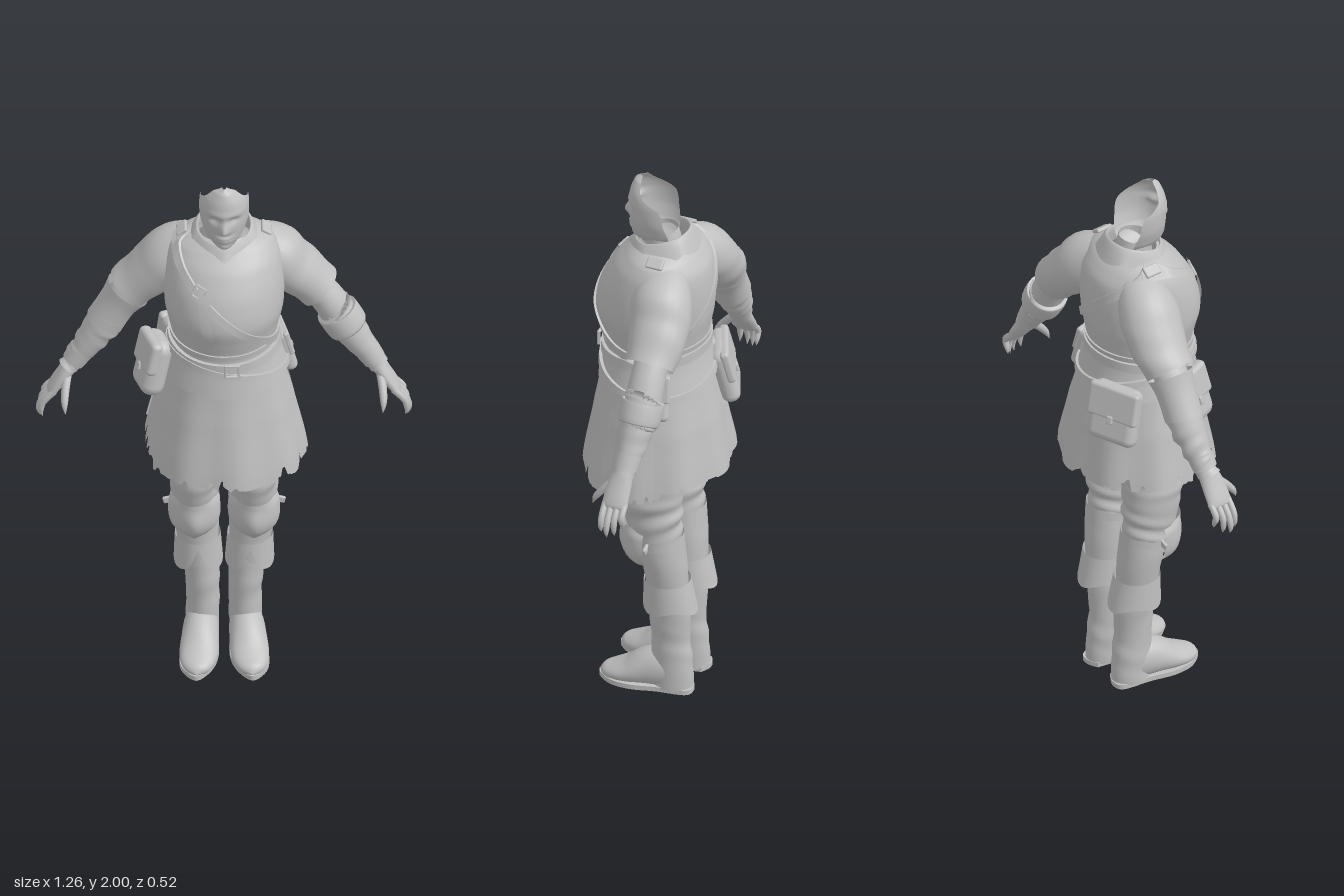
import * as THREE from 'three';
import { toCreasedNormals } from 'three/addons/utils/BufferGeometryUtils.js';
import { RoundedBoxGeometry } from 'three/addons/geometries/RoundedBoxGeometry.js';

const grey = new THREE.MeshStandardMaterial({ color: 0xc0c0c0, side: THREE.DoubleSide });
grey.name = 'plain grey';
const { sin, cos, abs, PI, max, min, pow } = Math;
const lerp = THREE.MathUtils.lerp;
const hash = n => { const s = sin(n * 127.1 + 3.7) * 43758.5453; return s - Math.floor(s); };
const bump = (d, s) => Math.exp(-d * d / (2 * s * s));

// Smooth interpolation of table rows at position t (in rows)
function sample(rows, t) {
  const i = min(Math.floor(t), rows.length - 2), f = t - i;
  const r = k => rows[max(0, min(rows.length - 1, k))];
  return rows[0].map((_, k) => {
    const [p, a, b, q] = [r(i - 1)[k], r(i)[k], r(i + 1)[k], r(i + 2)[k]];
    return a + 0.5 * f * (b - p + f * (2 * p - 5 * a + 4 * b - q + f * (3 * (a - b) + q - p)));
  });
}
// Table lookup by first column (descending heights)
function at(rows, y) {
  let i = 0;
  while (i < rows.length - 2 && y < rows[i + 1][0]) i++;
  const f = (y - rows[i][0]) / (rows[i + 1][0] - rows[i][0]);
  return sample(rows, i + max(0, min(1, f)));
}

// Surface from fn(u, v) -> [x, y, z], wound to face away from its centre
function grid(nu, nv, fn, closed = false, crease = 0) {
  const pos = [], idx = [], cols = closed ? nu : nu + 1;
  for (let j = 0; j <= nv; j++) for (let i = 0; i < cols; i++) pos.push(...fn(i / nu, j / nv));
  for (let j = 0; j < nv; j++) for (let i = 0; i < nu; i++) {
    const k = (i + 1) % cols, a = j * cols + i, b = j * cols + k;
    idx.push(a, b, a + cols, b, b + cols, a + cols);
  }
  const p = i => new THREE.Vector3(pos[i * 3], pos[i * 3 + 1], pos[i * 3 + 2]);
  const mid = new THREE.Vector3(), n = pos.length / 3;
  for (let i = 0; i < n; i++) mid.addScaledVector(p(i), 1 / n);
  let vol = 0;
  for (let i = 0; i < idx.length; i += 3) {
    const [a, b, c] = [0, 1, 2].map(k => p(idx[i + k]).sub(mid));
    vol += a.dot(b.cross(c));
  }
  if (vol < 0) idx.reverse();
  const g = new THREE.BufferGeometry();
  g.setAttribute('position', new THREE.Float32BufferAttribute(pos, 3));
  g.setIndex(idx);
  g.computeVertexNormals();
  return crease ? toCreasedNormals(g, crease) : g;
}

// Elliptic tube through rows [x, y, z, halfWidth, halfDepth]
function loft(rows, { seg = 24, steps = 6, wrinkle = 0, freq = 60, yMin = 0 } = {}) {
  const n = rows.length - 1, c = t => new THREE.Vector3(...sample(rows, t));
  const d = c(n).sub(c(0)).normalize();
  const ref = abs(d.z) > 0.8 ? new THREE.Vector3(0, 1, 0) : new THREE.Vector3(0, 0, 1);
  return grid(seg, n * steps, (u, v) => {
    const t = v * n, r = sample(rows, t), o = u * 2 * PI;
    const tan = c(min(n, t + 0.1)).sub(c(max(0, t - 0.1))).normalize();
    const w = ref.clone().addScaledVector(tan, -ref.dot(tan)).normalize();
    const s = tan.clone().cross(w);
    const k = wrinkle * sin(r[1] * freq + 2 * sin(o + r[1] * 9)) * (0.5 + 0.5 * sin(o + r[1] * 23));
    const p = new THREE.Vector3(r[0], r[1], r[2])
      .addScaledVector(s, (max(0, r[3]) + k) * cos(o)).addScaledVector(w, (max(0, r[4]) + k) * sin(o));
    return [p.x, max(yMin, p.y), p.z];
  }, true);
}

// Body outline: height, half width, front z, back z
const body = [
  [1.77, 0.085, 0.06, -0.09], [1.745, 0.15, 0.09, -0.125], [1.69, 0.183, 0.145, -0.165],
  [1.6, 0.196, 0.196, -0.178], [1.5, 0.196, 0.218, -0.175], [1.42, 0.181, 0.2, -0.162],
  [1.36, 0.174, 0.186, -0.155], [1.25, 0.197, 0.194, -0.175], [1.1, 0.233, 0.216, -0.208], [0.85, 0.28, 0.254, -0.25],
];
// Point on the body; angle 0 is the front, positive towards +x
function onBody(o, y, off = 0) {
  const [, a, f, b] = at(body, y);
  return [(a + off) * sin(o), y, (f + b) / 2 + ((f - b) / 2 + off) * cos(o)];
}
// Raised strap around the body following yFn(angle)
const strap = (yFn, h, off) => grid(80, 3, (u, v) => {
  const o = u * 2 * PI, k = Math.round(v * 3);
  return onBody(o, yFn(o) + (k < 2 ? h : -h), k === 0 || k === 3 ? 0 : off);
}, true, 0.8);

export function createModel() {
  const root = new THREE.Group();
  root.name = 'armouredFigure';
  const add = (name, geo, parent = root) => {
    const m = new THREE.Mesh(geo, grey);
    m.name = name;
    parent.add(m);
    return m;
  };
  const box = (name, w, h, d, x, y, z, parent) => {
    const m = add(name, new RoundedBoxGeometry(w, h, d, 2, min(w, h, d) * 0.4), parent);
    m.position.set(x, y, z);
    return m;
  };

  // Head: an open-backed face shell with sculpted features
  const head = [ // height, half width, front z, cut-off z
    [2, 0.012, 0.078, 0.065], [1.985, 0.045, 0.094, 0.06], [1.95, 0.073, 0.107, 0.045], [1.915, 0.083, 0.112, -0.02],
    [1.85, 0.082, 0.109, -0.035], [1.8, 0.068, 0.106, -0.045], [1.77, 0.05, 0.099, -0.04], [1.75, 0.032, 0.082, -0.02], [1.745, 0.02, 0.05, 0],
  ];
  add('face', grid(48, 56, (u, v) => {
    const y = lerp(2, 1.745, v), [, w, f, cut] = at(head, y), d = f - 0.01;
    const o = (u * 2 - 1) * Math.acos(max(-0.95, min(0.98, (cut - 0.01) / d)));
    const x = w * sin(o), front = max(0, cos(o));
    const nose = 0.024 * bump(x, 0.011) * bump(y - 1.845, y > 1.845 ? 0.024 : 0.008);
    const eyes = -0.012 * bump(abs(x) - 0.033, 0.014) * bump(y - 1.885, 0.01);
    const brow = 0.004 * bump(y - 1.908, 0.009);
    const lips = 0.008 * bump(x, 0.02) * (bump(y - 1.813, 0.005) + bump(y - 1.799, 0.005));
    const chin = 0.006 * bump(x, 0.02) * bump(y - 1.768, 0.01);
    return [x, y, 0.01 + d * cos(o) + front * (nose + eyes + brow + lips + chin)];
  }));
  add('neck', loft([[0, 1.69, -0.02, 0.075, 0.075], [0, 1.74, -0.01, 0.062, 0.065], [0, 1.8, 0, 0.058, 0.058]]));
  // Turned-down collar, higher at the back and pointed at the front
  add('collar', grid(60, 10, (u, v) => {
    const o = u * 2 * PI, top = 1.79 - 0.024 * cos(o), fold = 0.045 + 0.022 * abs(sin(o * 2.5));
    const [r, y] = sample([[0.098, 1.725], [0.086, top - 0.012], [0.095, top], [0.127, top - fold]], v * 3);
    return [r * sin(o), y, -0.008 + r * cos(o)];
  }, true));

  // Torso armour
  add('breastplate', grid(64, 32, (u, v) => onBody(u * 2 * PI, lerp(1.77, 1.3, v), 0.004), true));
  add('waistFlange', strap(o => 1.385 - 0.015 * cos(o), 0.01, 0.01));
  add('lowerPlate', grid(64, 6, (u, v) => {
    const o = u * 2 * PI;
    return onBody(o, lerp(1.34, 1.24 - 0.03 * max(0, cos(o)), v), 0.008 + 0.004 * v);
  }, true));
  add('trouserSeat', loft([[0, 1.3, 0, 0.16, 0.14], [0, 1.1, -0.005, 0.185, 0.135], [0, 0.97, -0.005, 0.16, 0.11],
    [0, 0.9, -0.005, 0.07, 0.07], [0, 0.88, -0.005, 0, 0]]));

  // Ragged skirt panels: start angle, end angle, offset, hem height
  [[-0.02, 1.15, 0.006, 0.855], [-1.15, 0.02, 0.003, 0.86], [1.05, 2.0, -0.004, 0.855], [-2.0, -1.05, -0.004, 0.9],
    [1.9, 3.2, 0.006, 0.9], [-3.12, -1.9, 0.002, 0.905]].forEach(([a, b, off, hem], i) =>
    add('skirtPanel', grid(36, 18, (u, v) => {
      const o = lerp(a, b, u), k = Math.floor(u * 18);
      const edge = max(0, abs(u - 0.5) - 0.42) * 0.3;
      const tear = 0.05 * pow(hash(k + i * 31), 5);
      return onBody(o, lerp(1.34, hem + edge + tear, v), off + v * 0.006 * sin(o * 9));
    })));

  // Belts, baldric and buckles
  add('belt', strap(o => 1.35 - 0.022 * cos(o), 0.017, 0.016));
  add('slungBelt', strap(o => 1.285 + 0.02 * cos(o) - 0.045 * sin(o), 0.011, 0.02));
  add('baldric', strap(o => 1.56 - 0.185 * sin(o) - 0.02 * cos(o), 0.018, 0.012));
  add('baldricTail', grid(6, 24, (u, v) => onBody(lerp(-0.45, -0.25, u) + 0.1 * v,
    lerp(1.66, 1.42 - 0.02 * sin(u * PI), v), 0.014)));
  const buckle = (name, x, y, z, s, tilt, rx, ry) => {
    const g = new THREE.TorusGeometry(s, s * 0.2, 6, 4, PI * 2);
    g.rotateZ(PI / 4);
    const m = add(name, toCreasedNormals(g, 0.6));
    m.position.set(x, y, z);
    m.rotation.set(rx, ry, tilt);
  };
  buckle('beltBuckle', 0.025, 1.328, 0.208, 0.032, 0, 0, 0);
  buckle('baldricBuckle', -0.085, 1.635, 0.172, 0.028, -0.5, -0.4, -0.3);
  for (const s of [1, -1])
    box('shoulderStrapPlate', 0.04, 0.014, 0.06, s * 0.142, 1.752, -0.035).rotation.z = -s * 0.6;

  // Pouches: position, size, turn about y, tilt
  [['backPouch', -0.13, 1.205, -0.178, 0.19, 0.21, 0.065, PI + 0.4, 0],
    ['rightHipBag', -0.24, 1.25, 0.05, 0.15, 0.21, 0.085, -PI / 2 + 0.3, 0.08],
    ['leftHipBag', 0.2, 1.25, -0.05, 0.12, 0.17, 0.045, PI / 2 + 0.25, 0],
  ].forEach(([name, x, y, z, w, h, d, turn, tilt]) => {
    const g = new THREE.Group();
    g.name = name;
    g.position.set(x, y, z);
    g.rotation.set(-0.25, turn, tilt, 'YXZ');
    root.add(g);
    add('pouchBody', new RoundedBoxGeometry(w * 0.97, h, d, 5, d * 0.48), g);
    box('pouchFlap', w, h * 0.58, d * 0.5, 0, h * 0.2, d * 0.29, g);
    box('pouchClasp', w * 0.12, h * 0.14, 0.012, 0, -h * 0.07, d * 0.54, g);
  });

  for (const s of [1, -1]) {
    const side = s > 0 ? 'left' : 'right';
    const m = rows => rows.map(([x, ...r]) => [x * s, ...r]);

    // Arm, sleeve and forearm guards
    add(side + 'Sleeve', loft(m([[0.09, 1.70, -0.05, 0.05, 0.07], [0.16, 1.635, -0.07, 0.093, 0.1],
      [0.225, 1.56, -0.085, 0.09, 0.104], [0.285, 1.5, -0.09, 0.08, 0.092], [0.322, 1.462, -0.09, 0.078, 0.086]]), { wrinkle: 0.003 }));
    add(side + 'Arm', loft(m([[0.25, 1.53, -0.09, 0.05, 0.055], [0.335, 1.43, -0.09, 0.056, 0.06], [0.4, 1.32, -0.09, 0.06, 0.062],
      [0.45, 1.24, -0.085, 0.05, 0.052], [0.5, 1.17, -0.078, 0.037, 0.038], [0.52, 1.14, -0.075, 0.034, 0.038]]), { wrinkle: s > 0 ? 0.0015 : 0.006, freq: 130 }));
    add(side + 'ElbowCuff', loft(m(s > 0
      ? [[0.378, 1.36, -0.09, 0.062, 0.064], [0.38, 1.355, -0.09, 0.072, 0.072], [0.415, 1.295, -0.088, 0.07, 0.07], [0.418, 1.29, -0.088, 0.055, 0.055]]
      : [[0.322, 1.45, -0.09, 0.08, 0.078], [0.355, 1.4, -0.09, 0.066, 0.068], [0.4, 1.32, -0.09, 0.066, 0.066]]), { steps: 4 }));
    add(side + 'WristBand', loft(m([[0.477, 1.205, -0.08, 0.044, 0.046], [0.505, 1.16, -0.077, 0.039, 0.042]])));

    // Hand
    add(side + 'Palm', loft(m([[0.505, 1.165, -0.077, 0.03, 0.032], [0.536, 1.115, -0.07, 0.025, 0.042], [0.566, 1.07, -0.068, 0.02, 0.045],
      [0.58, 1.045, -0.068, 0.015, 0.042], [0.583, 1.04, -0.068, 0, 0]]), { seg: 16, steps: 4 }));
    for (let i = 0; i < 4; i++) {
      const z = -0.102 + i * 0.023, l = [0.78, 0.95, 1, 0.9][i], dx = [-0.016, -0.004, 0.004, 0][i];
      add(side + 'Finger', loft(m([[0.57, 1.06, z, 0.012, 0.011], [0.574 + 0.035 * l, 1.06 - 0.045 * l, z, 0.012, 0.011],
        [0.574 + 0.044 * l + dx, 1.06 - 0.085 * l, z, 0.009, 0.009], [0.572 + 0.04 * l + dx, 1.06 - 0.115 * l, z, 0, 0]]), { seg: 10, steps: 4 }));
    }
    add(side + 'Thumb', loft(m([[0.525, 1.12, -0.05, 0.015, 0.015], [0.532, 1.085, -0.015, 0.014, 0.014],
      [0.535, 1.045, 0.016, 0.011, 0.011], [0.532, 1.01, 0.03, 0, 0]]), { seg: 10, steps: 4 }));

    // Trousers and greave
    add(side + 'TrouserLeg', loft(m([[0.095, 1.12, -0.01, 0.09, 0.11], [0.1, 0.9, -0.005, 0.088, 0.114], [0.1, 0.78, -0.005, 0.086, 0.108],
      [0.099, 0.68, -0.015, 0.08, 0.097], [0.098, 0.6, -0.03, 0.074, 0.08]]), { wrinkle: 0.006, freq: 85, seg: 32, steps: 9 }));
    add(side + 'Greave', loft(m([[0.098, 0.63, -0.035, 0.076, 0.084], [0.096, 0.56, -0.045, 0.078, 0.078],
      [0.092, 0.5, -0.053, 0.075, 0.075], [0.087, 0.43, -0.057, 0.069, 0.072], [0.08, 0.36, -0.06, 0.062, 0.07]])));

    // Knee guard with a central ridge
    const knee = [[0.672, 0.07, 0.096], [0.645, 0.084, 0.09], [0.59, 0.088, 0.09], [0.55, 0.08, 0.08], [0.52, 0.056, 0.06], [0.495, 0.02, 0.04]];
    add(side + 'KneeGuard', grid(28, 20, (u, v) => {
      const y = lerp(0.672, 0.495, v), [, a, d] = at(knee, y), o = (u - 0.5) * 3.4;
      return [s * 0.1 + a * sin(o), y, 0.005 + d * cos(o) + 0.014 * bump(o, 0.3) * sin(v * PI)];
    }));
    add(side + 'KneeStrap', loft(m([[0.098, 0.625, -0.03, 0.084, 0.086], [0.098, 0.595, -0.034, 0.083, 0.085]])));
    box(side + 'KneeStrapEnd', 0.035, 0.025, 0.012, s * 0.188, 0.612, -0.02).rotation.z = -s * 0.25;

    // Boot with turned cuff, notched at the front
    add(side + 'BootCuff', grid(40, 8, (u, v) => {
      const o = u * 2 * PI, f = min(o, 2 * PI - o);
      const y = lerp(0.45, 0.34 + 0.075 * max(0, 1 - f / 0.4) + 0.012 * cos(o * 3), v), k = (0.45 - y) / 0.115;
      return [s * (0.088 - 0.002 * k) + (0.077 + 0.006 * k) * sin(o), y, -0.058 - 0.01 * k + (0.08 + 0.014 * k) * cos(o)];
    }, true));
    add(side + 'BootShaft', loft(m([[0.083, 0.43, -0.06, 0.066, 0.07], [0.075, 0.31, -0.062, 0.06, 0.072],
      [0.071, 0.2, -0.063, 0.056, 0.067], [0.072, 0.11, -0.068, 0.056, 0.072], [0.073, 0.01, -0.071, 0.055, 0.074]]), { wrinkle: 0.002 }));
    add(side + 'Foot', loft(m([[0.073, 0.07, -0.1, 0.045, 0.065], [0.076, 0.075, -0.04, 0.057, 0.075], [0.08, 0.066, 0.015, 0.062, 0.066],
      [0.085, 0.045, 0.075, 0.065, 0.045], [0.09, 0.033, 0.125, 0.058, 0.031], [0.093, 0.026, 0.163, 0.036, 0.021],
      [0.094, 0.022, 0.183, 0, 0]]), { yMin: 0.012, seg: 28 }));
    const outline = m([[0.035, -0.13], [0.075, -0.148], [0.113, -0.13], [0.13, -0.03], [0.15, 0.06],
      [0.142, 0.135], [0.095, 0.185], [0.045, 0.135], [0.02, 0.06], [0.02, -0.03]]).map(p => new THREE.Vector2(...p));
    const shape = new THREE.Shape().moveTo(outline[0].x, outline[0].y).splineThru([...outline.slice(1), outline[0]]);
    const sole = new THREE.ExtrudeGeometry(shape, { depth: 0.018, bevelEnabled: false, curveSegments: 40 });
    add(side + 'Sole', sole.rotateX(PI / 2).translate(0, 0.018, 0));
  }
  return root;
}
